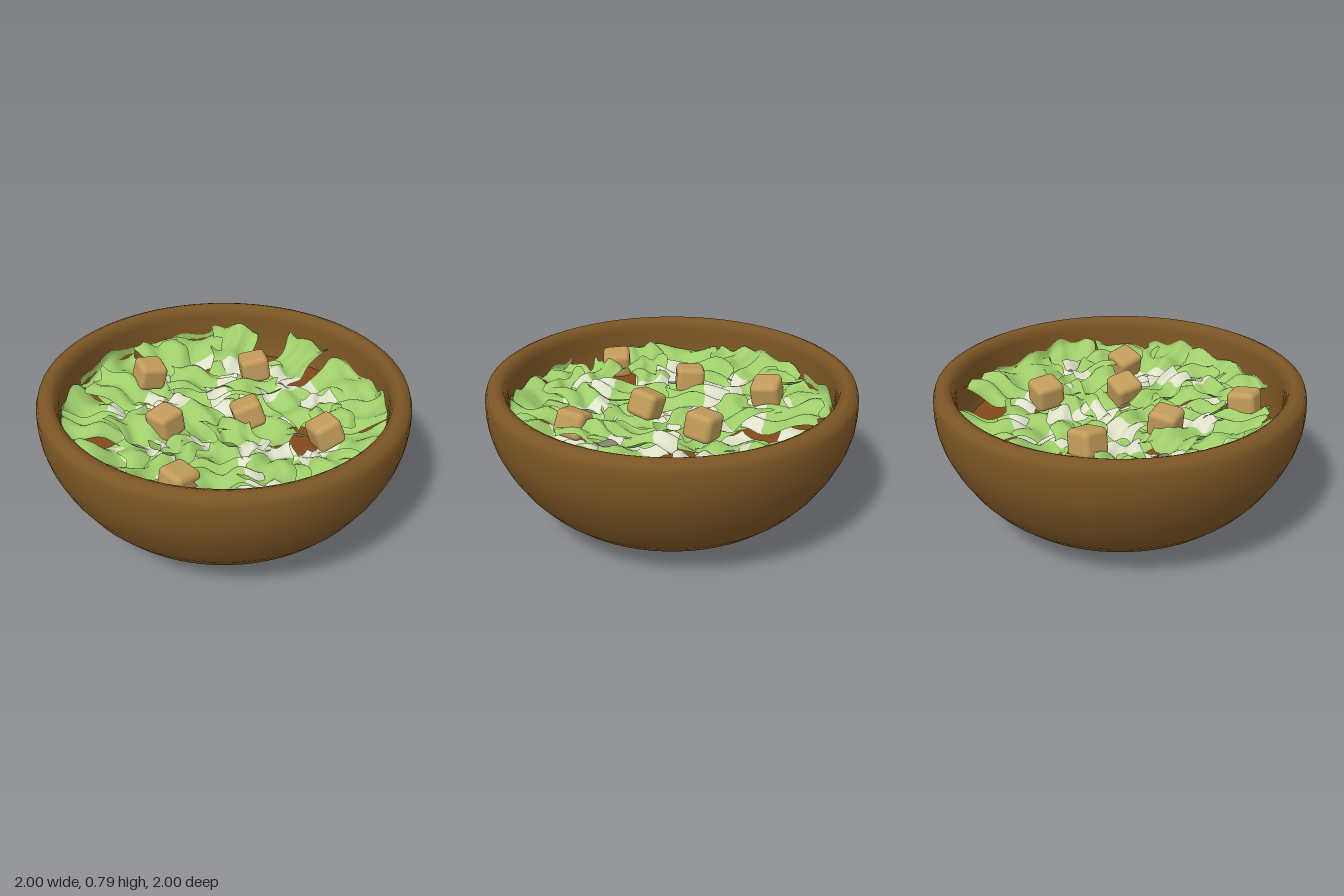
import * as THREE from 'three';
import { RoundedBoxGeometry } from 'three/addons/geometries/RoundedBoxGeometry.js';

const mat = (name, color, side = THREE.FrontSide) => {
  const m = new THREE.MeshStandardMaterial({ color, side });
  m.name = name;
  return m;
};

// Outer leaves, tips pointing to the rim: x, z, width
const RING = [
  [-0.1, -0.67, 0.24], [0.25, -0.68, 0.4], [0.5, -0.52, 0.27], [0.68, -0.27, 0.36],
  [0.7, -0.05, 0.26], [0.7, 0.18, 0.34], [0.58, 0.45, 0.3], [0.11, 0.57, 0.22],
  [-0.05, 0.69, 0.48], [-0.35, 0.56, 0.24], [-0.56, 0.47, 0.36], [-0.52, 0.25, 0.24],
  [-0.75, 0.13, 0.44], [-0.58, -0.15, 0.26], [-0.68, -0.37, 0.42], [-0.45, -0.52, 0.25],
];

// Loose leaves heaped in the middle: x, z, tip direction in degrees (90 = +z), length
const HEAP = [
  [-0.3, -0.13, 140, 0.38], [-0.08, -0.22, -60, 0.4], [0.2, -0.34, 10, 0.44], [0.42, -0.36, 30, 0.36],
  [-0.08, 0.13, 5, 0.5], [0.24, 0.14, 195, 0.42], [0.5, 0.18, 50, 0.4], [0.42, 0.4, 120, 0.36],
  [-0.15, 0.44, 190, 0.44], [0.1, 0.4, 80, 0.3],
];

// Croutons: x, y, z, turn, tilt
const CROUTONS = [
  [-0.14, 0.69, -0.38, -0.6, 0.15], [0.53, 0.64, -0.22, -0.35, 0.3],
  [0.14, 0.66, -0.04, -0.55, 0.3], [-0.53, 0.67, 0.07, -0.35, -0.2],
  [-0.12, 0.65, 0.32, 0, 0.1], [0.3, 0.64, 0.61, 0, -0.12],
];

// A rippled, slightly flared sheet; the stem end uses the second material
function leafGeometry(cx, cz, angle, w, l, h, phase) {
  const cols = 12, rows = 14, pale = 4;
  const g = new THREE.PlaneGeometry(1, 1, cols, rows);
  const p = g.attributes.position;
  const c = Math.cos(angle), s = Math.sin(angle);
  const outward = (cx * c + cz * s) * 0.16;
  for (let k = 0; k < p.count; k++) {
    const u = p.getX(k), v = p.getY(k);
    const ragged = 0.015 * Math.sin(u * 17 + phase) * (v + 0.5);
    const du = u * w * (1 + 0.3 * v) + 0.01 * Math.sin(v * 14 + phase);
    const dv = v * l + ragged;
    const x = cx + dv * c - du * s, z = cz + dv * s + du * c;
    const fit = Math.min(1, 0.875 / Math.hypot(x, z)); // stay inside the wall
    const ripple = 0.022 * Math.sin(v * 9 + phase + u * 2) + 0.018 * Math.sin(u * 10 - v * 3 + phase * 1.7);
    const curl = 0.07 * u * u * Math.cos(phase) + outward * v;
    p.setXYZ(k, x * fit, Math.max(0.515, h + ripple + curl), z * fit);
  }
  g.computeVertexNormals();
  g.addGroup(0, (rows - pale) * cols * 6, 0);
  g.addGroup((rows - pale) * cols * 6, pale * cols * 6, 1);
  return g;
}

export function createModel() {
  const wood = mat('wood brown', 0x7b5524);
  const base = mat('inner brown', 0x80491a);
  const green = mat('leaf green', 0x9fce6b, THREE.DoubleSide);
  const cream = mat('stem cream', 0xdde2c8, THREE.DoubleSide);
  const toast = mat('toast tan', 0xc19b5a);

  const model = new THREE.Group();
  model.name = 'saladBowl';
  const add = (name, geometry, material, parent = model) => {
    const m = new THREE.Mesh(geometry, material);
    m.name = name;
    parent.add(m);
    return m;
  };

  // Bowl: outside from the bottom up, over the rolled rim and down the inside
  const profile = [
    [0, 0.008], [0.5, 0.058], [0.56, 0.07], [0.7, 0.14], [0.78, 0.21], [0.85, 0.29],
    [0.92, 0.4], [0.97, 0.51], [0.993, 0.6], [1, 0.68], [0.998, 0.745], [0.985, 0.784],
    [0.95, 0.8], [0.925, 0.799], [0.898, 0.785], [0.883, 0.74], [0.885, 0.66],
    [0.87, 0.57], [0.83, 0.46], [0.62, 0.21], [0, 0.11],
  ].map(([x, y]) => new THREE.Vector2(x, y));
  add('bowl', new THREE.LatheGeometry(profile, 64), wood);

  // Flat bed under the leaves
  const bed = add('saladBed', new THREE.CircleGeometry(0.85, 64), base);
  bed.rotation.x = -Math.PI / 2;
  bed.position.y = 0.51;

  const leaves = new THREE.Group();
  leaves.name = 'lettuce';
  const addLeaf = (name, x, z, angle, w, l, h) =>
    add(name, leafGeometry(x, z, angle, w, l, h, leaves.children.length * 2.4), [green, cream], leaves);

  // Bottom layer: two turned rings of broad leaves
  for (let i = 0; i < 10; i++) {
    const a = (i / 10) * Math.PI * 2 + 0.3, r = i % 2 ? 0.2 : 0.47;
    addLeaf('bottomLeaf', r * Math.cos(a), r * Math.sin(a), a + 0.4, 0.36, 0.4, 0.55);
  }
  RING.forEach(([x, z, w]) =>
    addLeaf('outerLeaf', x, z, Math.atan2(z, x), w, 0.52 - 0.4 * w, w < 0.3 ? 0.61 : 0.585));
  HEAP.forEach(([x, z, deg, l], i) =>
    addLeaf('middleLeaf', x, z, THREE.MathUtils.degToRad(deg), i % 2 ? 0.2 : 0.25, l, i % 2 ? 0.645 : 0.625));
  model.add(leaves);

  const croutons = new THREE.Group();
  croutons.name = 'croutons';
  const cube = new RoundedBoxGeometry(0.158, 0.145, 0.158, 3, 0.03);
  CROUTONS.forEach(([x, y, z, turn, tilt]) => {
    const m = add('crouton', cube, toast, croutons);
    m.position.set(x, y, z);
    m.rotation.set(tilt, turn, tilt * 0.6, 'YXZ');
  });
  model.add(croutons);
  return model;
}
